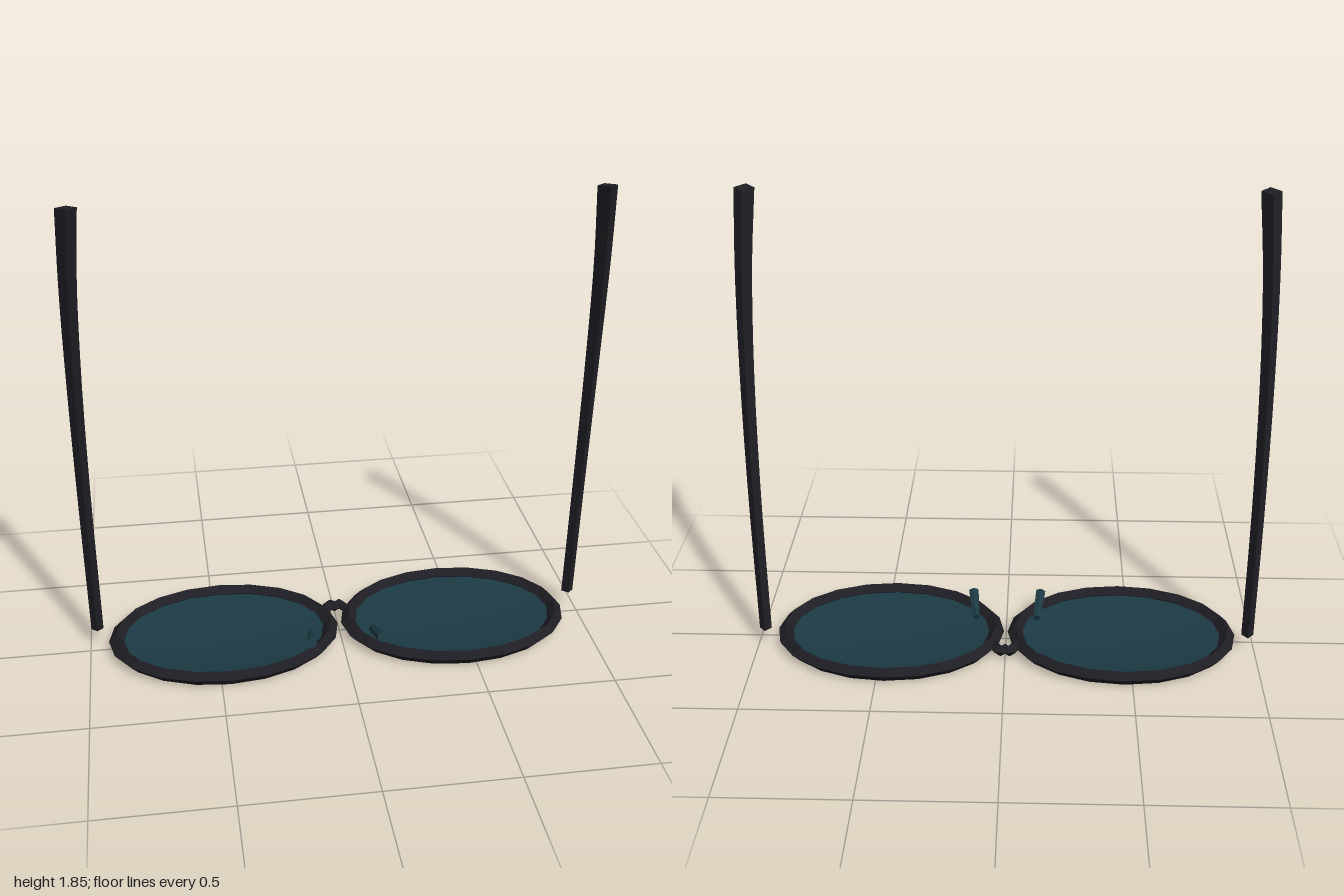
import * as THREE from 'three';

const frameMat = new THREE.MeshStandardMaterial({ color: 0x1e1e24, flatShading: true });
const lensMat = new THREE.MeshStandardMaterial({ color: 0x1c3a44, side: THREE.DoubleSide });
const padMat = new THREE.MeshStandardMaterial({ color: 0x1c3a44, flatShading: true });

const CENTRE_X = 0.467, RIM_Y = 0.035, RX = 0.43, SQUASH = 0.725;

function add(parent, name, geometry, material) {
  const mesh = new THREE.Mesh(geometry, material);
  mesh.name = name;
  parent.add(mesh);
  return mesh;
}

// Tapered rod with a diamond section that follows a smooth curve upward
function templeGeometry() {
  const path = new THREE.CatmullRomCurve3([
    new THREE.Vector3(0.970, 0.07, -0.05),
    new THREE.Vector3(0.975, 0.65, -0.022),
    new THREE.Vector3(0.973, 1.15, 0.018),
    new THREE.Vector3(0.963, 1.55, 0.064),
    new THREE.Vector3(0.945, 1.847, 0.104),
  ]);
  const geo = new THREE.CylinderGeometry(1, 1, 1, 4, 14);
  const pos = geo.attributes.position;
  for (let i = 0; i < pos.count; i++) {
    const t = pos.getY(i) + 0.5;
    const p = path.getPoint(t);
    const r = 0.024 + 0.014 * t * t;
    pos.setXYZ(i, p.x + pos.getX(i) * r, p.y + pos.getZ(i) * r * 0.1, p.z + pos.getZ(i) * r);
  }
  geo.computeVertexNormals();
  return geo;
}

// Shallow bowl bulging toward the face of the glasses
function lensGeometry() {
  const profile = [];
  for (let i = 0; i <= 8; i++) {
    const t = i / 8;
    profile.push(new THREE.Vector2(RX * t, RIM_Y * t * t));
  }
  return new THREE.LatheGeometry(profile, 40).scale(1, 1, SQUASH);
}

// Slim rod from one point to another
function padGeometry(from, to) {
  const dir = to.clone().sub(from);
  const turn = new THREE.Quaternion().setFromUnitVectors(
    new THREE.Vector3(0, 1, 0), dir.clone().normalize());
  const mid = from.clone().add(to).multiplyScalar(0.5);
  return new THREE.CylinderGeometry(0.022, 0.016, dir.length(), 6)
    .applyQuaternion(turn).translate(mid.x, mid.y, mid.z);
}

// Rim, lens, nose pad and temple of one side
function buildSide(name) {
  const side = new THREE.Group();
  side.name = name;

  const rim = new THREE.TorusGeometry(RX, 0.03, 4, 20).rotateX(Math.PI / 2).scale(1, 1, SQUASH);
  add(side, 'rim', rim, frameMat).position.set(CENTRE_X, RIM_Y, 0);

  add(side, 'lens', lensGeometry(), lensMat).position.x = CENTRE_X;

  add(side, 'nosePad', padGeometry(
    new THREE.Vector3(0.124, 0.05, 0.08), new THREE.Vector3(0.14, 0.092, 0.212)), padMat);

  add(side, 'temple', templeGeometry(), frameMat);
  return side;
}

export function createModel() {
  const model = new THREE.Group();
  model.name = 'sunglasses';

  const left = buildSide('leftSide');
  const right = buildSide('rightSide');
  right.scale.x = -1;
  model.add(left, right);

  // Small double-arched bridge between the rims
  const bridge = new THREE.CurvePath();
  const points = [[-0.05, -0.09], [-0.02, -0.143], [0, -0.125], [0.02, -0.143], [0.05, -0.09]]
    .map(([x, z]) => new THREE.Vector3(x, RIM_Y, z));
  for (let i = 1; i < points.length; i++) {
    bridge.add(new THREE.LineCurve3(points[i - 1], points[i]));
  }
  add(model, 'bridge', new THREE.TubeGeometry(bridge, 16, 0.024, 4), frameMat);

  return model;
}
